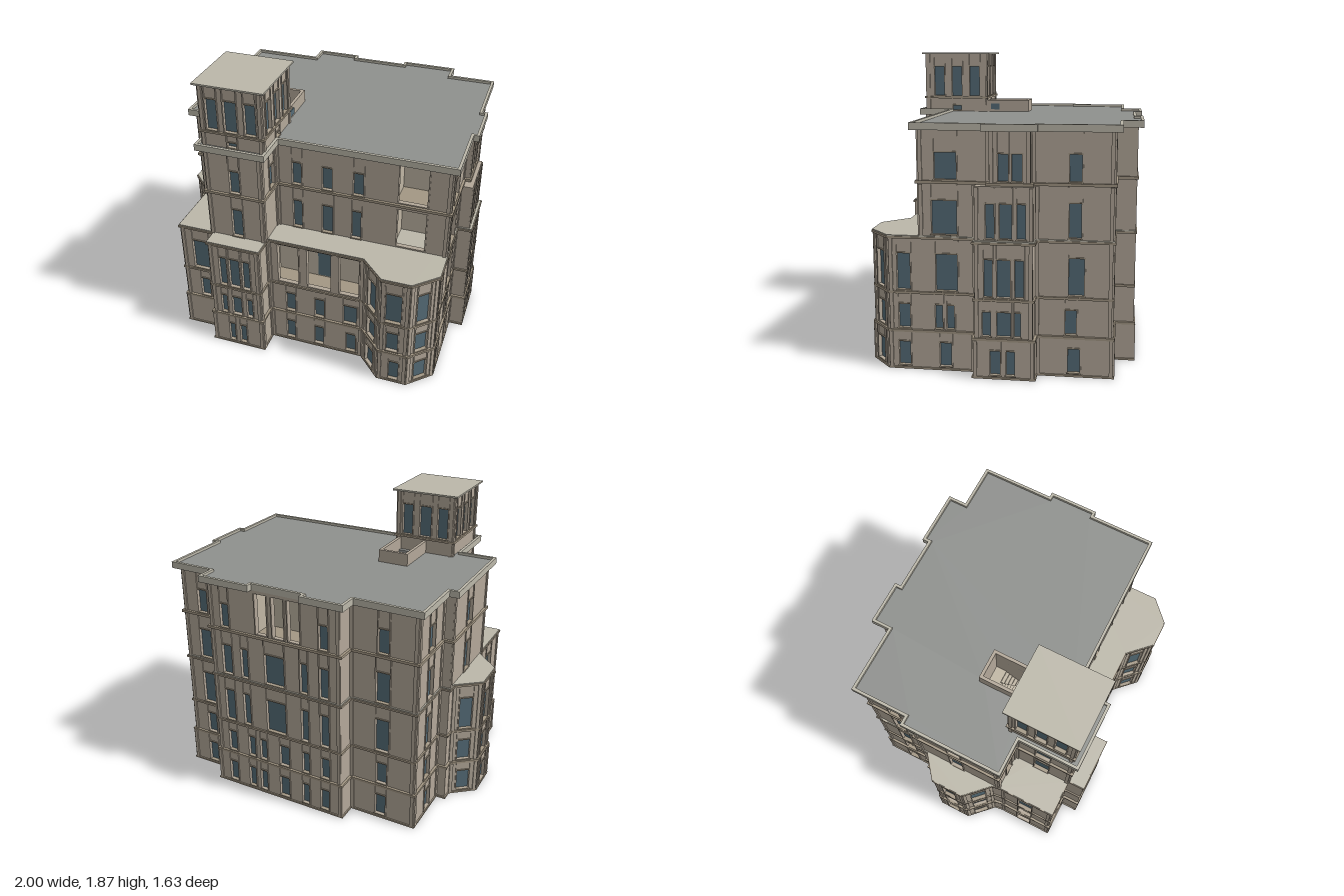
import * as THREE from 'three';

const mat = (color, side = THREE.FrontSide) => new THREE.MeshStandardMaterial({ color, side });
const stone = mat(0xb3a899), trimMat = mat(0xa39784), glassMat = mat(0x566d78);
const pale = mat(0xbcb8aa), deckMat = mat(0x8f918e), inner = mat(0xc0b6a4);

function add(parent, geo, material, name, x = 0, y = 0, z = 0) {
  const m = new THREE.Mesh(geo, material);
  m.name = name;
  m.position.set(x, y, z);
  parent.add(m);
  return m;
}

// box given by its minimum and maximum corners
function block(parent, name, a, b, material = stone) {
  return add(parent, new THREE.BoxGeometry(b[0] - a[0], b[1] - a[1], b[2] - a[2]), material, name,
    (a[0] + b[0]) / 2, (a[1] + b[1]) / 2, (a[2] + b[2]) / 2);
}

// offset a plan outline outwards with mitred corners
function grow(poly, o) {
  const n = poly.length;
  const normal = (p, q) => {
    const l = Math.hypot(q[0] - p[0], q[1] - p[1]);
    return [-(q[1] - p[1]) / l, (q[0] - p[0]) / l];
  };
  return poly.map((p, i) => {
    const a = normal(poly[(i + n - 1) % n], p), b = normal(p, poly[(i + 1) % n]);
    const k = o / (1 + a[0] * b[0] + a[1] * b[1]);
    return [p[0] + (a[0] + b[0]) * k, p[1] + (a[1] + b[1]) * k];
  });
}

const rect = (x0, x1, z0, z1) => [[x0, z1], [x1, z1], [x1, z0], [x0, z0]];
const toPoints = (poly) => poly.map(([x, z]) => new THREE.Vector2(x, -z));

// horizontal slab from a plan outline
function slab(parent, name, poly, y0, y1, material, hole) {
  const shape = new THREE.Shape(toPoints(poly));
  if (hole) shape.holes.push(new THREE.Path(toPoints(hole)));
  const geo = new THREE.ExtrudeGeometry(shape, { depth: y1 - y0, bevelEnabled: false });
  geo.rotateX(-Math.PI / 2);
  return add(parent, geo, material, name, 0, y0, 0);
}

// one wall panel with window openings, glass, surrounds and corner pilasters
function wall(parent, p, q, f) {
  const dx = q[0] - p[0], dz = q[1] - p[1], len = Math.hypot(dx, dz), h = f.y1 - f.y0;
  const nx = -dz / len, nz = dx / len;
  const g = new THREE.Group();
  g.name = 'wall';
  g.position.set(p[0], f.y0, p[1]);
  g.rotation.y = Math.atan2(-dz, dx);
  parent.add(g);

  let wins = [];
  if (Math.abs(nx) > 0.3 && Math.abs(nz) > 0.3) {
    wins = [[len / 2, len * 0.45]];
  } else {
    const alongX = Math.abs(nz) > 0.5;
    const list = alongX ? (nz > 0 ? f.front : f.back) : (nx > 0 ? f.right : f.left);
    wins = (list || []).map(([c, w, open]) =>
      [alongX ? (c - p[0]) * Math.sign(dx) : (c - p[1]) * Math.sign(dz), w, open])
      .filter(([s, w]) => s - w / 2 > 0.012 && s + w / 2 < len - 0.012);
  }

  const box = (x0, x1, y0, y1, z0, z1) => new THREE.Shape([[x0, y0], [x1, y0], [x1, y1], [x0, y1]]
    .map(([x, y]) => new THREE.Vector2(x, y)));
  const shape = box(0, len, 0, h);
  const lo = f.w0 - f.y0, hi = f.w1 - f.y0;
  for (const [s, w, open] of wins) {
    const top = open ? h - 0.02 : hi, a = s - w / 2, b = s + w / 2;
    shape.holes.push(box(a, b, lo, top));
    if (!open) {
      block(g, 'windowGlass', [a, lo, -0.022], [b, top, -0.016], glassMat);
      block(g, 'windowSill', [a - 0.008, lo - 0.008, -0.02], [b + 0.008, lo, 0.008], trimMat);
      block(g, 'windowLintel', [a - 0.008, top, -0.02], [b + 0.008, top + 0.008, 0.006], trimMat);
    }
    for (const e of [a - 0.008, b]) {
      block(g, 'windowJamb', [e, lo, -0.02], [e + 0.008, open ? top : h, 0.006], stone);
    }
  }
  add(g, new THREE.ExtrudeGeometry(shape, { depth: 0.03, bevelEnabled: false }), stone, 'wallPanel', 0, 0, -0.03);

  if (len > 0.15) {
    for (const e of [0.002, len - 0.024]) block(g, 'pilaster', [e, 0, -0.01], [e + 0.022, h, 0.008]);
  }
}

function storey(parent, f) {
  const g = new THREE.Group();
  g.name = f.name;
  parent.add(g);
  f.poly.forEach((p, i) => wall(g, p, f.poly[(i + 1) % f.poly.length], f));
  return g;
}

// recessed room behind an open bay: back and side panels
function loggia(parent, x0, x1, zFace, zBack, y0, y1) {
  const z0 = Math.min(zFace, zBack), z1 = Math.max(zFace, zBack);
  block(parent, 'loggiaBackWall', [x0, y0, zBack - 0.005], [x1, y1, zBack + 0.005], inner);
  for (const x of [x0, x1]) block(parent, 'loggiaSideWall', [x - 0.005, y0, z0], [x + 0.005, y1, z1], inner);
}

export function createModel() {
  const model = new THREE.Group();
  model.name = 'building';

  // plan outlines, running along the front towards +x
  const backEdge = [[0.89, -0.65], [0.59, -0.65], [0.59, -0.77], [-0.33, -0.77], [-0.33, -0.65],
    [-0.77, -0.65], [-0.77, -0.28], [-0.83, -0.28]];
  const sideBay = (x, za, zb) => [[0.89, za], [x, za], [x, zb], [0.89, zb]];
  const lower = [[-0.82, 0.69], [-0.57, 0.69], [-0.57, 0.8], [-0.23, 0.8], [-0.23, 0.65], [0.42, 0.65],
    [0.57, 0.8], [0.75, 0.8], [0.88, 0.67], [0.89, 0.52], ...sideBay(0.98, 0.14, -0.2), ...backEdge,
    [-0.83, -0.22], [-0.98, -0.1], [-0.98, 0.11], [-0.83, 0.26], [-0.82, 0.32]];
  lower[8] = [0.89, 0.67];
  lower.splice(9, 1);
  const towerFront = [[-0.59, 0.7], [-0.22, 0.7], [-0.22, 0.48], [0.89, 0.48]];
  const upperEnd = [[-0.83, 0.31], [-0.59, 0.31]];
  const fourth = [...towerFront, ...sideBay(0.965, 0.14, -0.2), ...backEdge, ...upperEnd];
  const fifth = [...towerFront, ...sideBay(0.925, 0.06, -0.18), ...backEdge, ...upperEnd];
  const tower = rect(-0.595, -0.2, 0.268, 0.69);

  const backSmall = [[0.74, 0.07], [0.48, 0.06], [0.33, 0.05], [0.24, 0.05], [0.08, 0.07], [-0.08, 0.05],
    [-0.22, 0.06], [-0.55, 0.07]];
  const backLarge = [[0.74, 0.09], [0.48, 0.07], [0.35, 0.05], [0.13, 0.14], [-0.08, 0.05], [-0.22, 0.06], [-0.55, 0.09]];
  const left = [[-0.46, 0.08], [0.0, 0.09], [0.5, 0.1]];

  // the five storeys
  storey(model, { name: 'groundStorey', poly: grow(lower, 0.01), y0: 0.01, y1: 0.23, w0: 0.025, w1: 0.17,
    front: [[-0.445, 0.04], [-0.365, 0.045], [-0.08, 0.06], [0.12, 0.065], [0.34, 0.065], [0.67, 0.065]],
    right: [[0.58, 0.07], [0.33, 0.07], [0.02, 0.06], [-0.07, 0.05], [-0.43, 0.07]], back: backSmall, left });
  storey(model, { name: 'secondStorey', poly: lower, y0: 0.245, y1: 0.465, w0: 0.255, w1: 0.4,
    front: [[-0.68, 0.065], [-0.49, 0.04], [-0.4, 0.065], [-0.31, 0.04], [-0.08, 0.065], [0.12, 0.065],
      [0.33, 0.09], [0.65, 0.075]],
    right: [[0.58, 0.07], [0.37, 0.045], [0.3, 0.045], [0.07, 0.05], [-0.03, 0.08], [-0.11, 0.04], [-0.41, 0.065]],
    back: backSmall, left });
  storey(model, { name: 'thirdStorey', poly: lower, y0: 0.48, y1: 0.805, w0: 0.49, w1: 0.71,
    front: [[-0.69, 0.11], [-0.48, 0.05], [-0.4, 0.07], [-0.32, 0.05], [-0.09, 0.14, 1], [0.12, 0.16, 1],
      [0.32, 0.13, 1], [0.65, 0.1]],
    right: [[0.58, 0.08], [0.32, 0.13], [0.06, 0.05], [-0.03, 0.08], [-0.12, 0.05], [-0.44, 0.09]],
    back: backLarge, left });
  storey(model, { name: 'fourthStorey', poly: fourth, y0: 0.82, y1: 1.125, w0: 0.83, w1: 1.03,
    front: [[-0.69, 0.07], [-0.4, 0.07], [-0.08, 0.06], [0.12, 0.07], [0.31, 0.06], [0.66, 0.18, 1]],
    right: [[0.33, 0.15], [0.05, 0.05], [-0.04, 0.07], [-0.13, 0.05], [-0.43, 0.07]], back: backLarge, left });
  const top = storey(model, { name: 'fifthStorey', poly: fifth, y0: 1.145, y1: 1.44, w0: 1.155, w1: 1.31,
    front: [[-0.69, 0.06], [-0.4, 0.065], [-0.08, 0.06], [0.12, 0.065], [0.32, 0.065], [0.66, 0.18, 1]],
    right: [[0.55, 0.07], [0.32, 0.13], [-0.02, 0.06], [-0.1, 0.06], [-0.43, 0.07]],
    back: [[0.74, 0.07], [0.48, 0.06], [0.21, 0.08, 1], [0.09, 0.08, 1], [-0.02, 0.08, 1], [-0.22, 0.06], [-0.55, 0.07]],
    left });

  // plinth, string courses and lower roofs
  slab(model, 'plinth', grow(lower, 0.018), 0, 0.012, trimMat);
  slab(model, 'firstStringCourse', grow(lower, 0.016), 0.23, 0.245, trimMat);
  slab(model, 'secondStringCourse', grow(lower, 0.01), 0.465, 0.48, trimMat);
  slab(model, 'lowerCornice', grow(lower, 0.014), 0.8, 0.813, trimMat);
  slab(model, 'lowerRoof', grow(lower, 0.008), 0.813, 0.82, pale);
  slab(model, 'bayRoof', fourth, 1.115, 1.13, stone);
  slab(model, 'upperCornice', grow(fifth, 0.016), 1.13, 1.147, trimMat);

  // recessed loggias
  loggia(model, -0.21, 0.41, 0.62, 0.5, 0.48, 0.8);
  block(model, 'loggiaWindow', [0.065, 0.49, 0.5], [0.175, 0.71, 0.51], glassMat);
  for (const y of [0.82, 1.147]) loggia(model, 0.55, 0.78, 0.45, 0.28, y, y + 0.295);
  loggia(top, -0.08, 0.27, -0.74, -0.6, 1.147, 1.44);

  // roof deck with stair opening, and its parapet
  const roofPlan = fifth.slice();
  const i = roofPlan.findIndex(([x, z]) => x === 0.59 && z === -0.77);
  roofPlan.splice(i + 1, 0, [0.31, -0.77], [0.31, -0.73], [-0.12, -0.73], [-0.12, -0.77]);
  const rim = grow(roofPlan, 0.04), deck = grow(roofPlan, 0.022);
  slab(model, 'roofDeck', deck, 1.44, 1.465, deckMat, rect(-0.39, -0.23, -0.01, 0.24));
  slab(model, 'roofParapet', rim, 1.44, 1.482, pale, deck);

  // open stair enclosure on the roof
  const stair = new THREE.Group();
  stair.name = 'stairEnclosure';
  model.add(stair);
  block(stair, 'stairLeftWall', [-0.41, 1.15, -0.03], [-0.39, 1.545, 0.27]);
  block(stair, 'stairRightWall', [-0.23, 1.15, -0.03], [-0.21, 1.545, 0.27]);
  block(stair, 'stairBackWall', [-0.39, 1.15, -0.03], [-0.23, 1.545, -0.01]);
  block(stair, 'stairWindow', [-0.212, 1.48, 0.175], [-0.205, 1.52, 0.235], glassMat);
  block(stair, 'stairLanding', [-0.39, 1.29, -0.01], [-0.23, 1.31, 0.06], inner);
  for (let k = 0; k < 9; k++) {
    const z = 0.06 + k * 0.02;
    block(stair, 'upperStep', [-0.39, 1.3 + k * 0.017, z], [-0.315, 1.317 + k * 0.017, z + 0.022], inner);
    block(stair, 'lowerStep', [-0.305, 1.28 - k * 0.015, z], [-0.23, 1.295 - k * 0.015, z + 0.022], inner);
  }

  // tower above the roof
  const towerWins = { front: [[-0.52, 0.07], [-0.4, 0.08], [-0.275, 0.07]], right: [[0.6, 0.07], [0.475, 0.07], [0.35, 0.07]] };
  storey(model, { name: 'towerBase', poly: tower, y0: 1.46, y1: 1.555, w0: 1.475, w1: 1.505,
    front: [[-0.4, 0.06]], right: [[0.475, 0.06]] });
  slab(model, 'towerLedge', grow(tower, 0.014), 1.555, 1.568, trimMat);
  storey(model, { name: 'towerLantern', poly: tower, y0: 1.568, y1: 1.862, w0: 1.575, w1: 1.775,
    ...towerWins, back: towerWins.front, left: towerWins.right });
  slab(model, 'towerRoof', grow(tower, 0.026), 1.862, 1.873, pale);
  return model;
}
